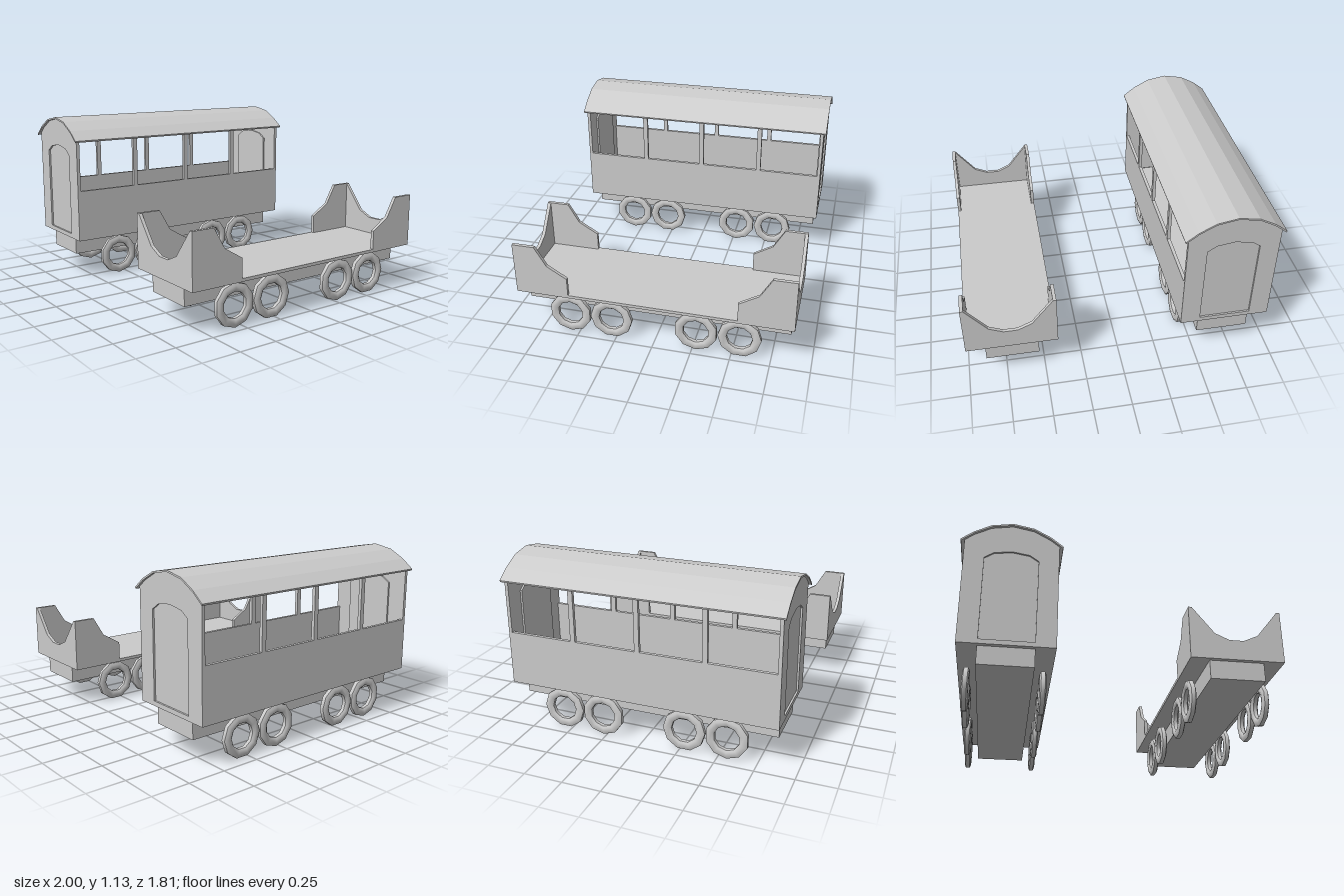
import * as THREE from 'three';
import { toCreasedNormals } from 'three/addons/utils/BufferGeometryUtils.js';

const material = new THREE.MeshStandardMaterial({ color: 0xcccccc, flatShading: true });
const smooth = new THREE.MeshStandardMaterial({ color: 0xcccccc });
const HALF = 0.293; // half width of both wagons
const END = 0.888; // half length of both wagons

function add(parent, name, geometry, mat = material) {
  const mesh = new THREE.Mesh(geometry, mat);
  mesh.name = name;
  parent.add(mesh);
  return mesh;
}

// Box given by its low and high corners
function box(parent, name, [x0, y0, z0], [x1, y1, z1]) {
  const mesh = add(parent, name, new THREE.BoxGeometry(x1 - x0, y1 - y0, z1 - z0));
  mesh.position.set((x0 + x1) / 2, (y0 + y1) / 2, (z0 + z1) / 2);
  return mesh;
}

const vectors = (points) => points.map(([x, y]) => new THREE.Vector2(x, y));

// Takes the right half of an outline, starting at the bottom, and mirrors it
function mirrored(half) {
  const other = half.filter(([x]) => x > 0).reverse().map(([x, y]) => [-x, y]);
  return vectors([...half, ...other]);
}

function slab(points, depth, holes = []) {
  const shape = new THREE.Shape(points);
  shape.holes = holes.map((h) => new THREE.Path(h));
  return new THREE.ExtrudeGeometry(shape, { depth, bevelEnabled: false });
}

// Ten-sided wheel rim with chamfered edges, axis along x
function wheelGeometry() {
  const profile = vectors([
    [0.083, -0.012], [0.095, -0.021], [0.12, -0.021], [0.138, -0.013],
    [0.138, 0.013], [0.12, 0.021], [0.095, 0.021], [0.083, 0.012], [0.083, -0.012],
  ]);
  const g = new THREE.LatheGeometry(profile, 10);
  g.rotateZ(Math.PI / 2);
  return toCreasedNormals(g, 0.7);
}

// Chassis, floor and eight wheels shared by both wagons
function addUndercarriage(wagon) {
  box(wagon, 'chassis', [-0.17, 0.17, -0.86], [0.17, 0.29, 0.86]);
  box(wagon, 'floor', [-HALF, 0.29, -END], [HALF, 0.31, END]);
  const rim = wheelGeometry();
  for (const x of [-0.232, 0.232]) {
    [0.556, 0.28, -0.273, -0.55].forEach((z, i) => {
      const wheel = add(wagon, 'wheel', rim, smooth);
      wheel.position.set(x, 0.14, z);
      wheel.rotation.x = i % 2 ? 0 : Math.PI / 10;
    });
  }
}

function coach() {
  const wagon = new THREE.Group();
  wagon.name = 'passengerCoach';
  addUndercarriage(wagon);

  // Gable ends with an arched, slightly recessed door
  const door = mirrored([[0.167, 0.32], [0.167, 0.88], [0.11, 0.918], [0, 0.935]]);
  const gable = mirrored([[HALF, 0.29], [HALF, 1.0], [0.235, 1.043], [0.132, 1.097], [0, 1.122]]);
  for (const s of [1, -1]) {
    const wall = add(wagon, 'endWall', slab(gable, 0.022, [door]));
    wall.position.z = s > 0 ? END - 0.022 : -END;
    const panel = add(wagon, 'door', slab(door, 0.022));
    panel.position.z = s > 0 ? END - 0.034 : -END + 0.012;
  }

  // Sides with open windows between thin posts
  for (const s of [1, -1]) {
    const a = s > 0 ? HALF - 0.022 : -HALF;
    const b = a + 0.022;
    box(wagon, 'sideWall', [a, 0.29, -END + 0.02], [b, 0.64, END - 0.02]);
    box(wagon, 'windowHeader', [a, 0.98, -END + 0.02], [b, 1.0, END - 0.02]);
    for (const z of [-0.432, 0, 0.432]) {
      box(wagon, 'windowPost', [a, 0.63, z - 0.016], [b, 0.985, z + 0.016]);
    }
  }

  // Thin faceted roof overhanging all round
  const top = [[0.317, 0.99], [0.237, 1.052], [0.133, 1.107], [0, 1.131]];
  const arc = [...top, ...top.slice(0, 3).reverse().map(([x, y]) => [-x, y])];
  const under = arc.map(([x, y]) => [x * 0.99, y - 0.011]).reverse();
  const roof = add(wagon, 'roof', slab(vectors([...arc, ...under]), 1.81));
  roof.position.z = -0.905;
  return wagon;
}

function flatWagon() {
  const wagon = new THREE.Group();
  wagon.name = 'flatWagon';
  addUndercarriage(wagon);

  // Scooped end boards
  const board = mirrored([
    [HALF, 0.29], [HALF, 0.635], [0.272, 0.635], [0.135, 0.462], [0.045, 0.421],
  ]);
  for (const z of [END - 0.022, -END]) {
    add(wagon, 'endBoard', slab(board, 0.022)).position.z = z;
  }

  // Stepped corner boards, drawn along z and turned to stand at the sides
  for (const sz of [1, -1]) {
    const corner = vectors([
      [END, 0.29], [END, 0.635], [0.742, 0.635], [0.668, 0.508], [0.542, 0.432], [0.542, 0.29],
    ].map(([z, y]) => [-z * sz, y]));
    for (const x of [HALF - 0.022, -HALF]) {
      const side = add(wagon, 'cornerBoard', slab(corner, 0.022));
      side.rotation.y = Math.PI / 2;
      side.position.x = x;
    }
  }
  return wagon;
}

export function createModel() {
  const model = new THREE.Group();
  model.name = 'railWagons';
  const closed = coach();
  closed.position.x = -0.683;
  const open = flatWagon();
  open.position.x = 0.706;
  model.add(closed, open);
  return model;
}
